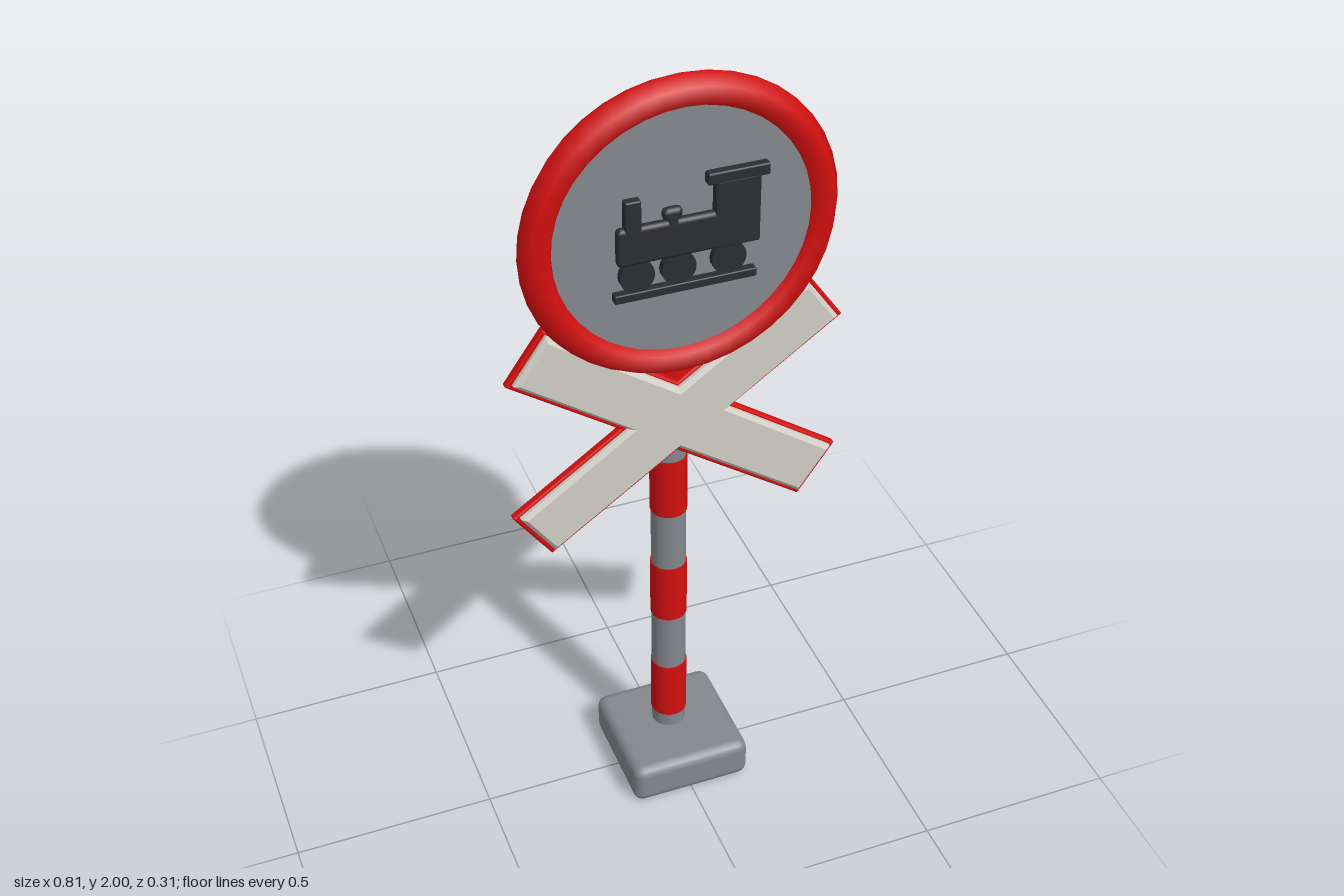
import * as THREE from 'three';
import { RoundedBoxGeometry } from 'three/addons/geometries/RoundedBoxGeometry.js';

export function createModel() {
  const model = new THREE.Group();
  model.name = 'railwayCrossingSign';

  const material = (name, color) => {
    const m = new THREE.MeshStandardMaterial({ color });
    m.name = name;
    return m;
  };
  const grey = material('grey metal', 0x84878d);
  const red = material('signal red', 0xd40f0f);
  const cream = material('off white', 0xd0cec5);
  const dark = material('charcoal', 0x2c2d32);

  const add = (name, geometry, mat, x, y, z, parent = model) => {
    const mesh = new THREE.Mesh(geometry, mat);
    mesh.name = name;
    mesh.position.set(x, y, z);
    parent.add(mesh);
    return mesh;
  };

  // Base block and striped pole
  const poleZ = -0.02;
  add('base', new RoundedBoxGeometry(0.31, 0.11, 0.31, 2, 0.026), grey, 0, 0.055, 0);
  add('pole', new THREE.CylinderGeometry(0.043, 0.043, 1.79, 20), grey, 0, 0.995, poleZ);
  for (let i = 0; i < 4; i++) {
    add('poleStripe', new THREE.CylinderGeometry(0.0455, 0.0455, 0.165, 20), red, 0, 0.2325 + i * 0.33, poleZ);
  }

  // Round sign: disc with a thick rim
  const signY = 1.634;
  const disc = new THREE.CylinderGeometry(0.33, 0.33, 0.069, 40).rotateX(Math.PI / 2);
  add('signDisc', disc, grey, 0, signY, 0.0375);
  add('signRim', new THREE.TorusGeometry(0.327, 0.04, 6, 40), red, 0, signY, 0.055);

  // Crossed boards: one X outline, bevelled, in two layers
  const crossGeometry = (halfLength, halfWidth, depth, bevel) => {
    const a = THREE.MathUtils.degToRad(35);
    const c = Math.cos(a), s = Math.sin(a);
    const tipA = [halfLength * c + halfWidth * s, halfLength * s - halfWidth * c];
    const tipB = [halfLength * c - halfWidth * s, halfLength * s + halfWidth * c];
    const notchX = halfWidth / s, notchY = halfWidth / c;
    const points = [
      [notchX, 0], tipA, tipB, [0, notchY],
      [-tipB[0], tipB[1]], [-tipA[0], tipA[1]], [-notchX, 0],
      [-tipA[0], -tipA[1]], [-tipB[0], -tipB[1]], [0, -notchY],
      [tipB[0], -tipB[1]], [tipA[0], -tipA[1]],
    ].map(([x, y]) => new THREE.Vector2(x, y));
    return new THREE.ExtrudeGeometry(new THREE.Shape(points), {
      depth: depth - 2 * bevel, bevelEnabled: true, bevelSegments: 1,
      bevelThickness: bevel, bevelSize: bevel, bevelOffset: -bevel,
    }).translate(0, 0, bevel);
  };
  add('crossBacking', crossGeometry(0.437, 0.079, 0.022, 0.004), red, 0, 1.12, 0.018);
  add('crossFace', crossGeometry(0.425, 0.069, 0.03, 0.01), cream, 0, 1.124, 0.029);

  // Locomotive relief on the disc
  const engine = new THREE.Group();
  engine.name = 'locomotive';
  model.add(engine);
  const reliefZ = 0.079, thick = 0.026;
  const block = (name, x0, x1, y0, y1, radius = 0.004) =>
    add(name, new RoundedBoxGeometry(x1 - x0, y1 - y0, thick, 1, radius), dark,
      (x0 + x1) / 2, (y0 + y1) / 2, reliefZ, engine);
  block('rail', -0.164, 0.164, 1.497, 1.518, 0.003);
  block('boiler', -0.156, 0.08, 1.585, 1.677, 0.01);
  block('cab', 0.066, 0.17, 1.587, 1.75);
  block('cabRoof', 0.048, 0.19, 1.745, 1.773);
  block('chimney', -0.138, -0.101, 1.66, 1.742);
  block('steamDome', -0.052, -0.006, 1.677, 1.706, 0.011);
  block('domeNeck', -0.04, -0.018, 1.665, 1.69);
  for (const x of [-0.111, -0.016, 0.1]) {
    const wheel = new THREE.CylinderGeometry(0.04, 0.04, 0.022, 20).rotateX(Math.PI / 2);
    add('wheel', wheel, dark, x, 1.556, 0.078, engine);
  }

  return model;
}
